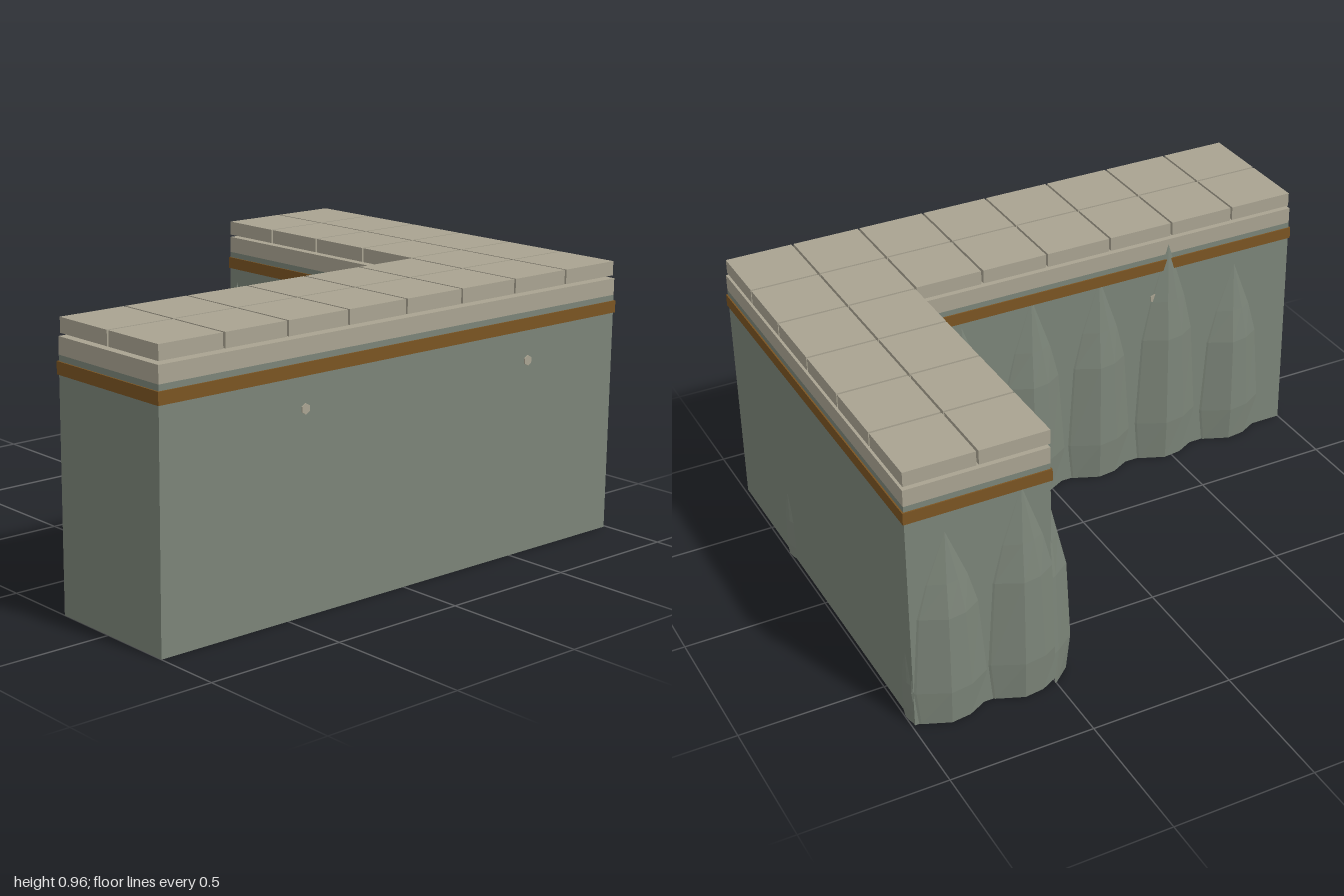
import * as THREE from 'three';

const mat = (name, color) => {
  const m = new THREE.MeshStandardMaterial({ color, flatShading: true });
  m.name = name;
  return m;
};

// Plan of the L: long arm along z, short arm towards -x
const X0 = -0.72, XM = 0.27, X1 = 0.765, Z0 = -0.99, ZM = -0.5, Z1 = 1;

// L-shaped layer between two heights, grown outward by g
function layer(y0, y1, g = 0) {
  const s = new THREE.Shape([
    [X0 - g, -(Z0 - g)], [X0 - g, -(ZM + g)], [XM - g, -(ZM + g)],
    [XM - g, -(Z1 + g)], [X1 + g, -(Z1 + g)], [X1 + g, -(Z0 - g)],
  ].map(([x, y]) => new THREE.Vector2(x, y)));
  return new THREE.ExtrudeGeometry(s, { depth: y1 - y0, bevelEnabled: false })
    .rotateX(-Math.PI / 2).translate(0, y0, 0);
}

// Faceted rock spike leaning on a wall that faces +z
function rock(width, depth, height) {
  const section = [[-0.5, -0.1], [-0.45, 0.1], [-0.08, 1], [0.2, 0.8], [0.5, -0.1]];
  // height, width and depth factors
  const rows = [[0, 0.9, 0.8], [0.18, 1, 1], [0.58, 0.82, 0.85], [0.75, 0.55, 0.5], [1, 0, 0]];
  const pos = [], idx = [], n = section.length;
  for (const [h, w, d] of rows)
    for (const [u, v] of section) pos.push(u * w * width, h * height, v * d * depth);
  for (let j = 0; j < rows.length - 1; j++)
    for (let i = 0; i < n - 1; i++) {
      const a = j * n + i, b = a + 1, c = b + n, e = a + n;
      idx.push(a, b, c);
      if (j < rows.length - 2) idx.push(a, c, e);
    }
  for (let i = 1; i < n - 1; i++) idx.push(0, i + 1, i);
  const g = new THREE.BufferGeometry();
  g.setAttribute('position', new THREE.Float32BufferAttribute(pos, 3));
  g.setIndex(idx);
  const flat = g.toNonIndexed();
  flat.computeVertexNormals();
  return flat;
}

export function createModel() {
  const model = new THREE.Group();
  model.name = 'cornerWall';
  const stone = mat('greenGreyStone', 0x7b8478);
  const paving = mat('palePaving', 0xa9a391);
  const trim = mat('brownTrim', 0x7a5422);

  const add = (name, geo, material, x = 0, y = 0, z = 0, turn = 0) => {
    const m = new THREE.Mesh(geo, material);
    m.name = name;
    m.position.set(x, y, z);
    m.rotation.y = turn;
    model.add(m);
  };

  // Wall, trim band and coping
  add('wallBody', layer(0, 0.842), stone);
  add('trimBand', layer(0.78, 0.822, 0.005), trim);
  add('copingSlab', layer(0.842, 0.9), paving);

  // Paving tiles, two across each arm
  const px = (X1 - X0) / 6, pz = (Z1 - Z0) / 8, gap = 0.008;
  const tile = new THREE.BoxGeometry(px - gap, 0.05, pz - gap);
  for (let i = 0; i < 6; i++)
    for (let j = 0; j < 8; j++)
      if (i >= 4 || j < 2)
        add('pavingTile', tile, paving, X0 + (i + 0.5) * px, 0.935, Z0 + (j + 0.5) * pz);

  // Rock spikes along the inner wall and the short end: x, z, height
  for (const [x, z, h] of [
    [XM, -0.33, 0.76], [XM, -0.06, 0.8], [XM, 0.21, 0.81], [XM, 0.49, 0.88], [XM, 0.77, 0.73],
    [X0, -0.86, 0.71], [X0, -0.6, 0.79],
  ]) add('rockSpike', rock(0.27, 0.053, h), stone, x, 0, z, -Math.PI / 2);
  add('cornerRock', rock(0.15, 0.08, 0.73), stone, -0.68, 0, ZM);

  // Low chips on the back
  for (const x of [0.32, -0.67])
    add('backChip', rock(0.09, 0.01, 0.26), stone, x, 0, Z0, Math.PI);

  // Small pale pebbles set in the wall
  const pebble = new THREE.CylinderGeometry(0.018, 0.018, 0.008, 6).rotateX(Math.PI / 2);
  add('pebble', pebble, paving, -0.045, 0.675, ZM);
  for (const [x, z] of [[X1, 0.435], [X1, -0.56], [XM, 0.435]])
    add('pebble', pebble, paving, x, 0.675, z, Math.PI / 2);

  return model;
}
